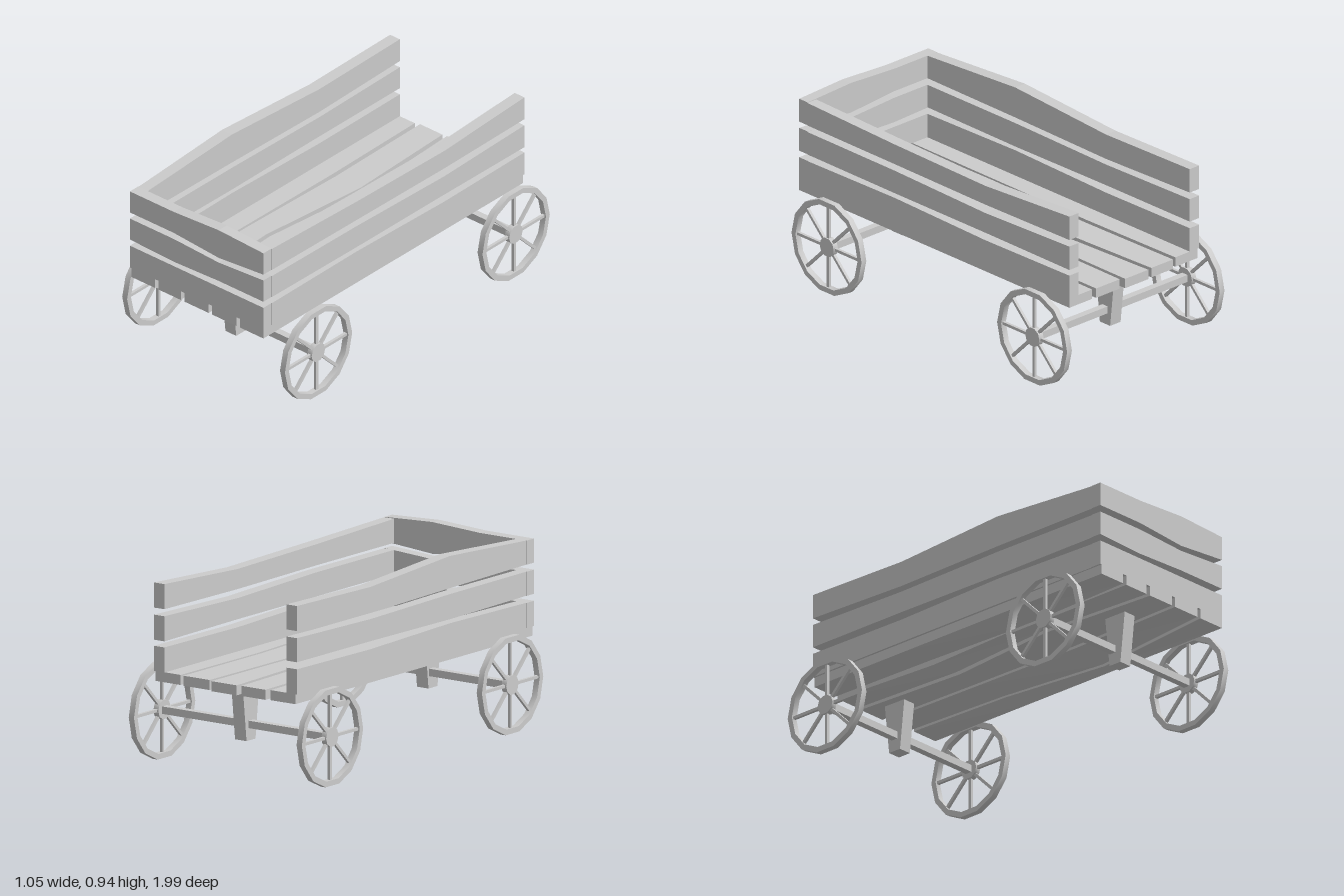
import * as THREE from 'three';
import { toCreasedNormals } from 'three/addons/utils/BufferGeometryUtils.js';

const material = new THREE.MeshStandardMaterial({ color: 0xcccccc });
const flat = new THREE.MeshStandardMaterial({ color: 0xcccccc, flatShading: true });

function add(parent, name, geometry, mat = flat) {
  const mesh = new THREE.Mesh(geometry, mat);
  mesh.name = name;
  parent.add(mesh);
  return mesh;
}

// Warped board along z: four rings of [z, left x, right x, top y, bottom y at left, bottom y at right]
function board(rings) {
  const geo = new THREE.BoxGeometry(1, 1, 3, 1, 1, 3);
  const p = geo.attributes.position;
  for (let i = 0; i < p.count; i++) {
    const [z, x0, x1, top, botL, botR = botL] = rings[Math.round(p.getZ(i) + 1.5)];
    const right = p.getX(i) > 0;
    p.setXYZ(i, right ? x1 : x0, p.getY(i) > 0 ? top : right ? botR : botL, z);
  }
  geo.computeVertexNormals();
  return geo;
}

// Spoked wheel lying in the yz plane, centred on its hub
function wheel() {
  const group = new THREE.Group();
  const sides = 14, width = 0.032;
  const ring = r => Array.from({ length: sides }, (_, i) => {
    const a = (i + 0.5) / sides * Math.PI * 2 + Math.PI / 2;
    return new THREE.Vector2(Math.cos(a) * r, Math.sin(a) * r);
  });
  const shape = new THREE.Shape(ring(0.247));
  shape.holes.push(new THREE.Path(ring(0.219)));
  const rim = new THREE.ExtrudeGeometry(shape, { depth: width, bevelEnabled: false });
  rim.translate(0, 0, -width / 2).rotateY(Math.PI / 2);
  add(group, 'rim', toCreasedNormals(rim, 0.6), material);
  const hub = new THREE.CylinderGeometry(0.05, 0.05, 0.03, 10).rotateZ(Math.PI / 2);
  add(group, 'hub', toCreasedNormals(hub, 0.7), material);
  for (let i = 0; i < 8; i++) {
    const spoke = new THREE.BoxGeometry(0.015, 0.19, 0.015).translate(0, 0.135, 0);
    add(group, 'spoke', spoke).rotation.x = i * Math.PI / 4;
  }
  return group;
}

export function createModel() {
  const model = new THREE.Group();
  model.name = 'wagon';

  // Floor planks: left and right edges from back to front, then bottom heights at the two bends
  const planks = [
    { l: [-0.425, -0.425, -0.425, -0.425], r: [-0.275, -0.265, -0.268, -0.272], b: [0.42, 0.42, 0.42, 0.405], back: -0.92 },
    { l: [-0.25, -0.24, -0.255, -0.25], r: [-0.105, -0.08, -0.14, -0.105], b: [0.405, 0.42, 0.415, 0.42], back: -0.93 },
    { l: [-0.08, -0.05, -0.115, -0.08], r: [0.075, 0.07, 0.085, 0.075], b: [0.42, 0.41, 0.42, 0.415], back: -0.935 },
    { l: [0.097, 0.09, 0.107, 0.097], r: [0.255, 0.255, 0.285, 0.255], b: [0.41, 0.405, 0.415, 0.385], back: -0.92 },
    { l: [0.277, 0.272, 0.307, 0.277], r: [0.43, 0.43, 0.43, 0.43], b: [0.405, 0.42, 0.385, 0.42], back: -0.915 },
  ];
  for (const { l, r, b, back } of planks) {
    add(model, 'floorPlank', board([
      [back, l[0], r[0], 0.47, 0.42],
      [-0.3, l[1], r[1], 0.47, b[0], b[1]],
      [0.33, l[2], r[2], 0.47, b[2], b[3]],
      [0.99, l[3], r[3], 0.47, 0.42],
    ]));
  }

  // Side boards: top and bottom heights from back to front
  const zs = [-0.92, -0.33, 0.31, 0.93];
  const sides = [
    { s: 1, top: [0.595, 0.59, 0.605, 0.595], bot: [0.47, 0.47, 0.47, 0.47] },
    { s: 1, top: [0.75, 0.735, 0.75, 0.75], bot: [0.625, 0.63, 0.63, 0.63] },
    { s: 1, top: [0.91, 0.88, 0.89, 0.905], bot: [0.785, 0.78, 0.785, 0.785] },
    { s: -1, top: [0.595, 0.59, 0.605, 0.595], bot: [0.47, 0.47, 0.47, 0.47] },
    { s: -1, top: [0.75, 0.74, 0.75, 0.75], bot: [0.63, 0.63, 0.625, 0.63] },
    { s: -1, top: [0.91, 0.9, 0.94, 0.905], bot: [0.785, 0.77, 0.78, 0.785] },
  ];
  for (const { s, top, bot } of sides) {
    const name = s > 0 ? 'leftSideBoard' : 'rightSideBoard';
    const outer = [0.435, 0.437, 0.437, 0.432];
    add(model, name, board(zs.map((z, i) => {
      const x = [s * 0.372, s * outer[i]].sort((a, b) => a - b);
      return [z, ...x, top[i], bot[i]];
    })));
  }

  // Front boards, built along z and turned across the wagon
  const fronts = [
    { top: [0.595, 0.595, 0.595, 0.595], bot: [0.47, 0.47, 0.47, 0.47] },
    { top: [0.75, 0.75, 0.735, 0.752], bot: [0.63, 0.62, 0.63, 0.63] },
    { top: [0.905, 0.905, 0.92, 0.907], bot: [0.785, 0.785, 0.762, 0.785] },
  ];
  const xs = [-0.435, -0.15, 0.14, 0.43];
  for (const { top, bot } of fronts) {
    const geo = board(xs.map((x, i) => [x, -0.99, -0.93, top[i], bot[i]]));
    add(model, 'frontBoard', geo.rotateY(Math.PI / 2));
  }

  // Axles, tapered brackets and wheels
  for (const [z, end] of [[0.695, 'front'], [-0.755, 'back']]) {
    add(model, end + 'Axle', new THREE.BoxGeometry(1, 0.037, 0.037)).position.set(0, 0.24, z);
    const bracket = new THREE.BoxGeometry(0.07, 0.27, 0.132);
    const p = bracket.attributes.position;
    for (let i = 0; i < p.count; i++) if (p.getY(i) < 0) p.setZ(i, p.getZ(i) * 0.55);
    bracket.computeVertexNormals();
    add(model, end + 'Bracket', bracket).position.set(0.004, 0.295, z + (z > 0 ? 0.015 : 0));
    for (const s of [-1, 1]) {
      const w = wheel();
      w.name = end + (s > 0 ? 'LeftWheel' : 'RightWheel');
      w.position.set(s * 0.511, 0.241, z);
      model.add(w);
    }
  }
  return model;
}
